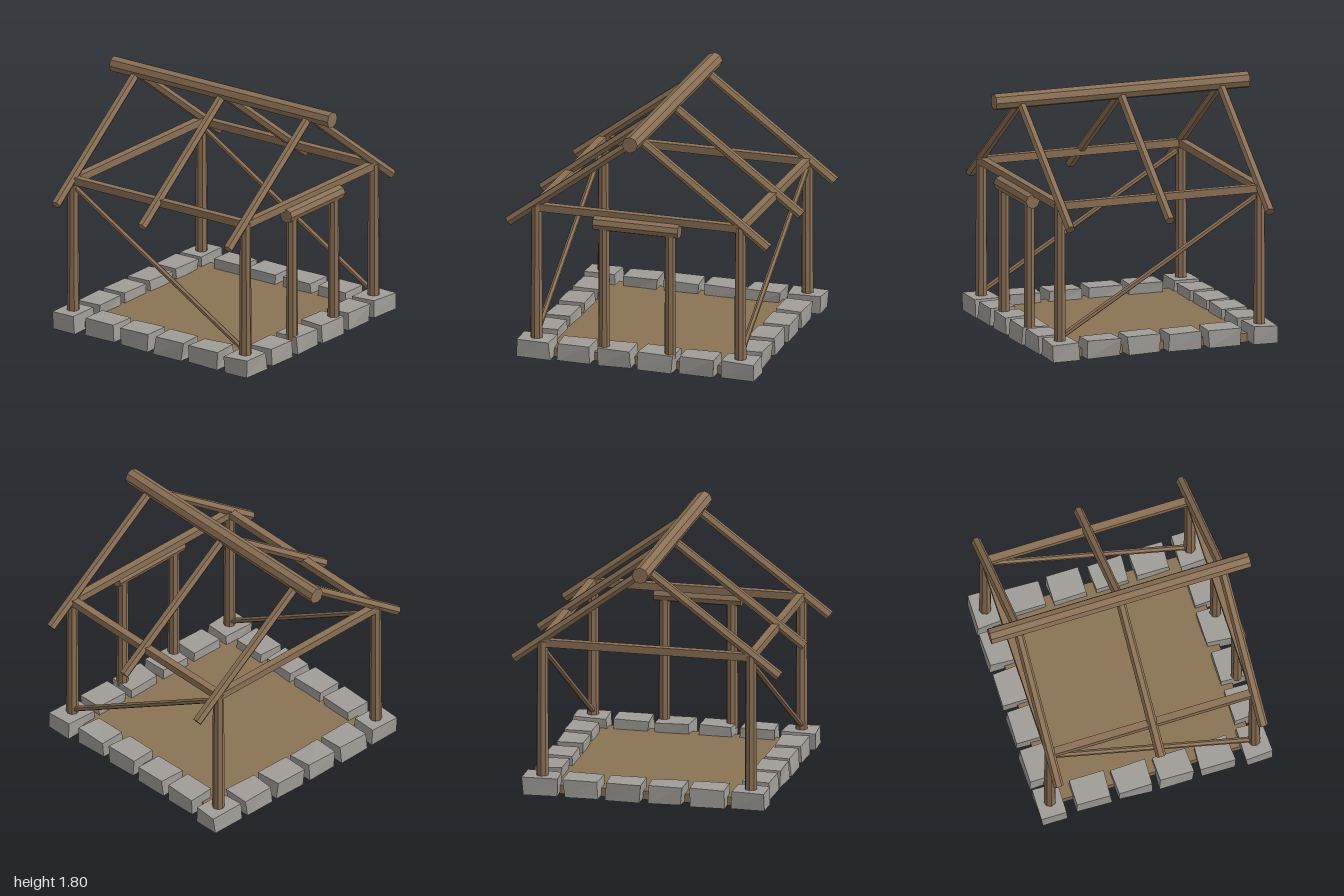
import * as THREE from 'three';

const wood = new THREE.MeshStandardMaterial({ color: 0x8b7055, flatShading: true });
wood.name = 'wood';
const earth = new THREE.MeshStandardMaterial({ color: 0x8b7355, flatShading: true });
earth.name = 'earth';
const stone = new THREE.MeshStandardMaterial({ color: 0xa09d98, flatShading: true });
stone.name = 'stone';

// small seeded generator, returns -1..1
let seed = 7;
const rand = () => {
  seed = (seed * 16807) % 2147483647;
  return (seed / 2147483647) * 2 - 1;
};

// faceted log between two points
function log(name, from, to, r0, r1 = r0, sides = 8, spin = 0) {
  const a = new THREE.Vector3(...from);
  const d = new THREE.Vector3(...to).sub(a);
  const geo = new THREE.CylinderGeometry(r1, r0, d.length(), sides);
  geo.rotateY(spin);
  const mesh = new THREE.Mesh(geo, wood);
  mesh.name = name;
  mesh.position.copy(a).addScaledVector(d, 0.5);
  mesh.quaternion.setFromUnitVectors(new THREE.Vector3(0, 1, 0), d.normalize());
  return mesh;
}

function box(name, w, h, d, x, y, z, mat) {
  const mesh = new THREE.Mesh(new THREE.BoxGeometry(w, h, d), mat);
  mesh.name = name;
  mesh.position.set(x, y, z);
  return mesh;
}

// roughly hewn block: each corner is nudged a little
function block(w, d, x, z) {
  const mesh = box('foundationStone', w, 0.13, d, x, 0.073, z, stone);
  const p = mesh.geometry.attributes.position;
  const nudges = {};
  for (let i = 0; i < p.count; i++) {
    const key = [p.getX(i), p.getY(i), p.getZ(i)].map(Math.sign).join();
    nudges[key] ??= [rand() * 0.011, rand() * 0.005, rand() * 0.009];
    const n = nudges[key];
    p.setXYZ(i, p.getX(i) + n[0], p.getY(i) + n[1], p.getZ(i) + n[2]);
  }
  mesh.geometry.computeVertexNormals();
  return mesh;
}

export function createModel() {
  const g = new THREE.Group();
  g.name = 'hutFrame';
  const C = 0.77;

  // packed floor
  g.add(box('floor', 1.52, 0.065, 1.52, 0, 0.0325, 0, earth));

  // ring of foundation stones
  const spots = [-C, -0.465, -0.155, 0.155, 0.465, C];
  for (const s of [-1, 1]) {
    for (const t of spots) g.add(block(0.25, 0.195, t, s * C));
    for (const t of spots.slice(1, 5)) g.add(block(0.195, 0.25, s * C, t));
  }

  for (const s of [-1, 1]) {
    // corner posts
    for (const z of [-C, C]) {
      g.add(log('cornerPost', [s * C, 0.11, z], [s * C, 1.14, z], 0.045, 0.04));
    }
    // tie beams along and across
    g.add(box('sideBeam', 0.055, 0.055, 1.54, s * C, 1.132, 0, wood));
    g.add(box('crossBeam', 1.54, 0.055, 0.055, 0, 1.13, s * C, wood));
    // diagonal wall brace
    g.add(log('brace', [s * C, 0.165, 0.76], [s * C, 1.09, -C], 0.021, 0.021, 6));
    // door posts
    g.add(log('doorPost', [s * 0.25, 0.1, 0.8], [s * 0.25, 1.04, 0.8], 0.043, 0.04));
    // rafters
    for (const z of [-C, 0, C]) {
      g.add(log('rafter', [s * 0.98, 1.0, z], [0, 1.73, z], 0.037, 0.034, 6));
    }
  }

  // door lintel and ridge pole
  g.add(log('lintel', [-0.323, 1.065, 0.8], [0.32, 1.065, 0.8], 0.053));
  g.add(log('ridgePole', [0, 1.745, -0.98], [0, 1.745, 0.975], 0.06));
  return g;
}
